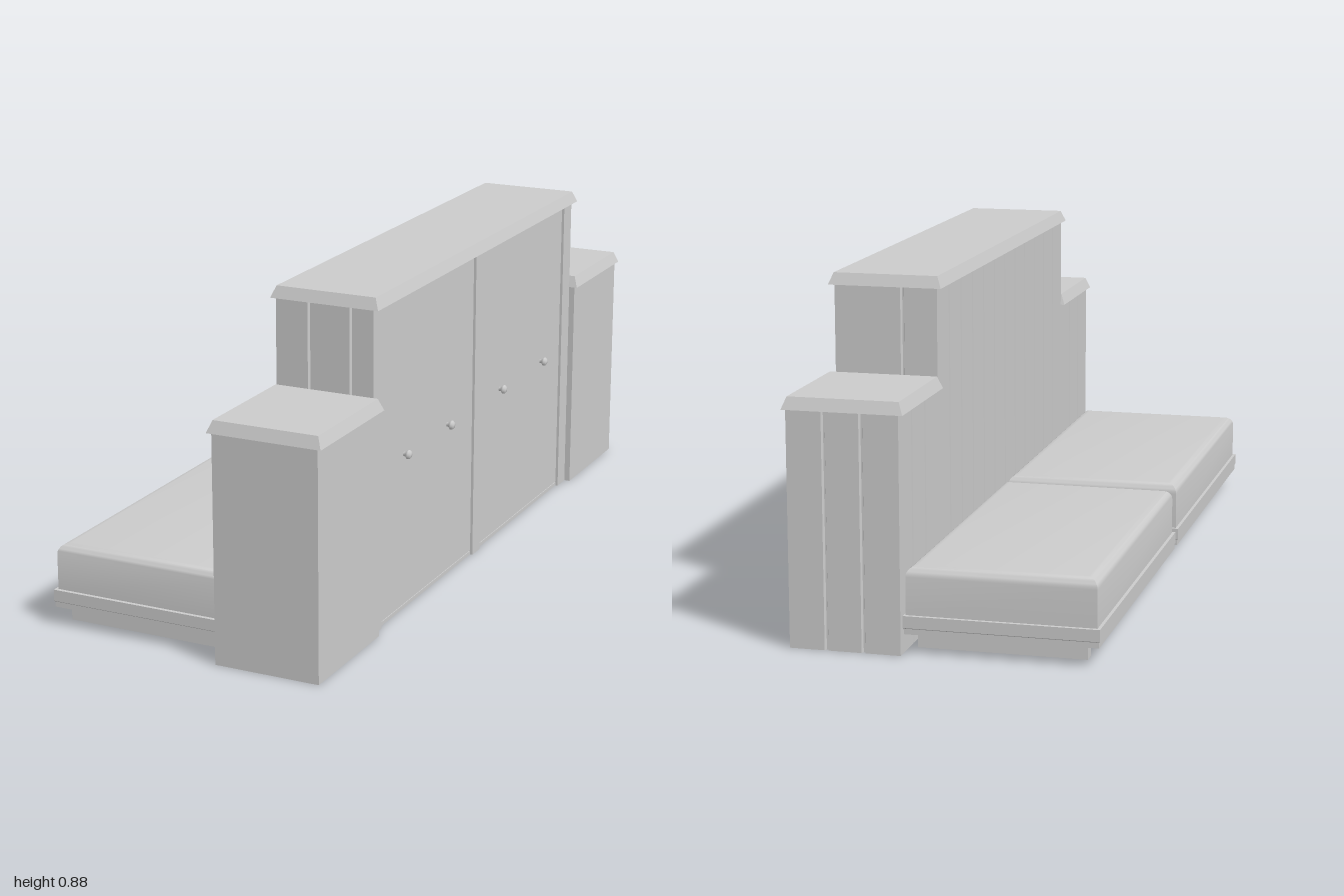
import * as THREE from 'three';
import { toCreasedNormals } from 'three/addons/utils/BufferGeometryUtils.js';

const grey = new THREE.MeshStandardMaterial({ color: 0xcccccc, side: THREE.DoubleSide });

function add(parent, name, geometry, x = 0, y = 0, z = 0) {
  const mesh = new THREE.Mesh(geometry, grey);
  mesh.name = name;
  mesh.position.set(x, y, z);
  parent.add(mesh);
  return mesh;
}

// Box given by its limits
function block(parent, name, x0, x1, y0, y1, z0, z1) {
  return add(parent, name, new THREE.BoxGeometry(x1 - x0, y1 - y0, z1 - z0),
    (x0 + x1) / 2, (y0 + y1) / 2, (z0 + z1) / 2);
}

// Rectangle rings stacked along a profile of [inset, y], with optional end caps
function loft(x0, x1, z0, z1, profile, capBottom, capTop) {
  const pos = [], index = [];
  for (const [d, y] of profile) {
    pos.push(x0 + d, y, z1 - d, x1 - d, y, z1 - d, x1 - d, y, z0 + d, x0 + d, y, z0 + d);
  }
  for (let r = 0; r < profile.length - 1; r++) {
    for (let i = 0; i < 4; i++) {
      const a = r * 4 + i, b = r * 4 + (i + 1) % 4;
      index.push(a, b, b + 4, a, b + 4, a + 4);
    }
  }
  const t = (profile.length - 1) * 4;
  if (capBottom) index.push(0, 2, 1, 0, 3, 2);
  if (capTop) index.push(t, t + 1, t + 2, t, t + 2, t + 3);
  const g = new THREE.BufferGeometry();
  g.setAttribute('position', new THREE.Float32BufferAttribute(pos, 3));
  g.setIndex(index);
  return toCreasedNormals(g, 0.6);
}

// Upright board wall with V grooves on its outer face; it faces -z before turning
function boardWall(length, height, firstGroove, pitch) {
  const s = new THREE.Shape(), h = length / 2;
  s.moveTo(-h, -0.014);
  s.lineTo(h, -0.014);
  s.lineTo(h, 0);
  for (let u = h - firstGroove; u > -h + 0.02; u -= pitch) {
    s.lineTo(u + 0.005, 0);
    s.lineTo(u + 0.002, -0.008);
    s.lineTo(u - 0.002, -0.008);
    s.lineTo(u - 0.005, 0);
  }
  s.lineTo(-h, 0);
  s.closePath();
  return new THREE.ExtrudeGeometry(s, { depth: height, bevelEnabled: false }).rotateX(-Math.PI / 2);
}

// Crown with sides that flare outward towards the bottom
function crown(parent, name, x0, x1, y0, y1, z0, z1) {
  add(parent, name, loft(x0, x1, z0, z1, [[0, y0], [0.012, y1]], true, true));
}

function tallCabinet() {
  const g = new THREE.Group();
  g.name = 'tallCabinet';
  const H = 0.845, W = 0.66;
  add(g, 'boardedBack', boardWall(2 * W, H, 0.11, 0.11), 0.098, 0, 0).rotation.y = Math.PI / 2;
  add(g, 'boardedEnd', boardWall(0.262, H, 0.172, 0.114), 0.229, 0, -W);
  add(g, 'boardedEnd', boardWall(0.262, H, 0.092, 0.114), 0.229, 0, W).rotation.y = Math.PI;
  // Doors between three upright trims
  block(g, 'door', 0.345, 0.357, 0.012, H, 0.03, 0.61);
  block(g, 'door', 0.345, 0.357, 0.012, H, -0.605, -0.02);
  for (const [z0, z1] of [[0.61, W], [-0.02, 0.03], [-W, -0.605]]) {
    block(g, 'upright', 0.345, 0.364, 0, H, z0, z1);
  }
  block(g, 'threshold', 0.345, 0.357, 0, 0.01, -W, W);
  crown(g, 'crown', 0.086, 0.379, H, 0.875, -0.667, 0.667);
  // Door knobs on short stems
  const knob = new THREE.LatheGeometry([[0.006, 0], [0.006, 0.006], [0.012, 0.01], [0.012, 0.015],
    [0.008, 0.02], [0, 0.021]].map(p => new THREE.Vector2(...p)), 12).rotateZ(-Math.PI / 2);
  for (const z of [0.465, 0.195, -0.16, -0.46]) add(g, 'knob', knob, 0.357, 0.42, z);
  return g;
}

// side is +1 for the end at +z, -1 for the end at -z
function endCabinet(side) {
  const g = new THREE.Group();
  g.name = 'endCabinet';
  const H = 0.595, inner = 0.66 * side, outer = 0.995 * side;
  add(g, 'boardedBack', boardWall(0.335, H, 0.11, 0.112), 0.098, 0, (inner + outer) / 2).rotation.y = Math.PI / 2;
  const [z0, z1] = side > 0 ? [inner, outer] : [outer, inner];
  block(g, 'frontPanel', 0.368, 0.38, 0, H, z0, z1);
  if (side > 0) block(g, 'endPanel', 0.098, 0.38, 0, H, outer - 0.012, outer);
  else add(g, 'boardedEnd', boardWall(0.282, H, 0.094, 0.094), 0.239, 0, outer);
  block(g, 'innerPanel', 0.3, 0.38, 0, H, Math.min(inner, inner + side * 0.01), Math.max(inner, inner + side * 0.01));
  const a = 0.653 * side, b = side;
  crown(g, 'crown', 0.086, 0.39, H - 0.002, 0.624, Math.min(a, b), Math.max(a, b));
  return g;
}

function bench(z0, z1) {
  const g = new THREE.Group();
  g.name = 'bench';
  // Open frame with a small step around its lower edge
  add(g, 'frame', loft(-0.39, 0.097, z0, z1, [[0.002, 0.05], [0.002, 0.064], [0, 0.066], [0, 0.096],
    [0.03, 0.096], [0.03, 0.05], [0.002, 0.05]], false, false));
  // Hollow cushion with a rounded top edge
  const profile = [[0, 0.094]];
  for (let i = 0; i <= 6; i++) {
    const t = i / 6 * Math.PI / 2, r = 0.026;
    profile.push([r - r * Math.cos(t), 0.217 - r + r * Math.sin(t)]);
  }
  add(g, 'cushion', loft(-0.382, 0.092, z0 + 0.01, z1 - 0.01, profile, false, true));
  // Cross bars underneath
  for (const z of [z0 + 0.045, (z0 + z1) / 2, z1 - 0.045]) {
    block(g, 'crossBar', -0.355, 0.067, 0.012, 0.05, z - 0.018, z + 0.018);
  }
  return g;
}

export function createModel() {
  const model = new THREE.Group();
  model.name = 'cabinetWithBenches';
  model.add(tallCabinet(), endCabinet(1), endCabinet(-1), bench(-0.98, -0.035), bench(0, 0.95));
  return model;
}
